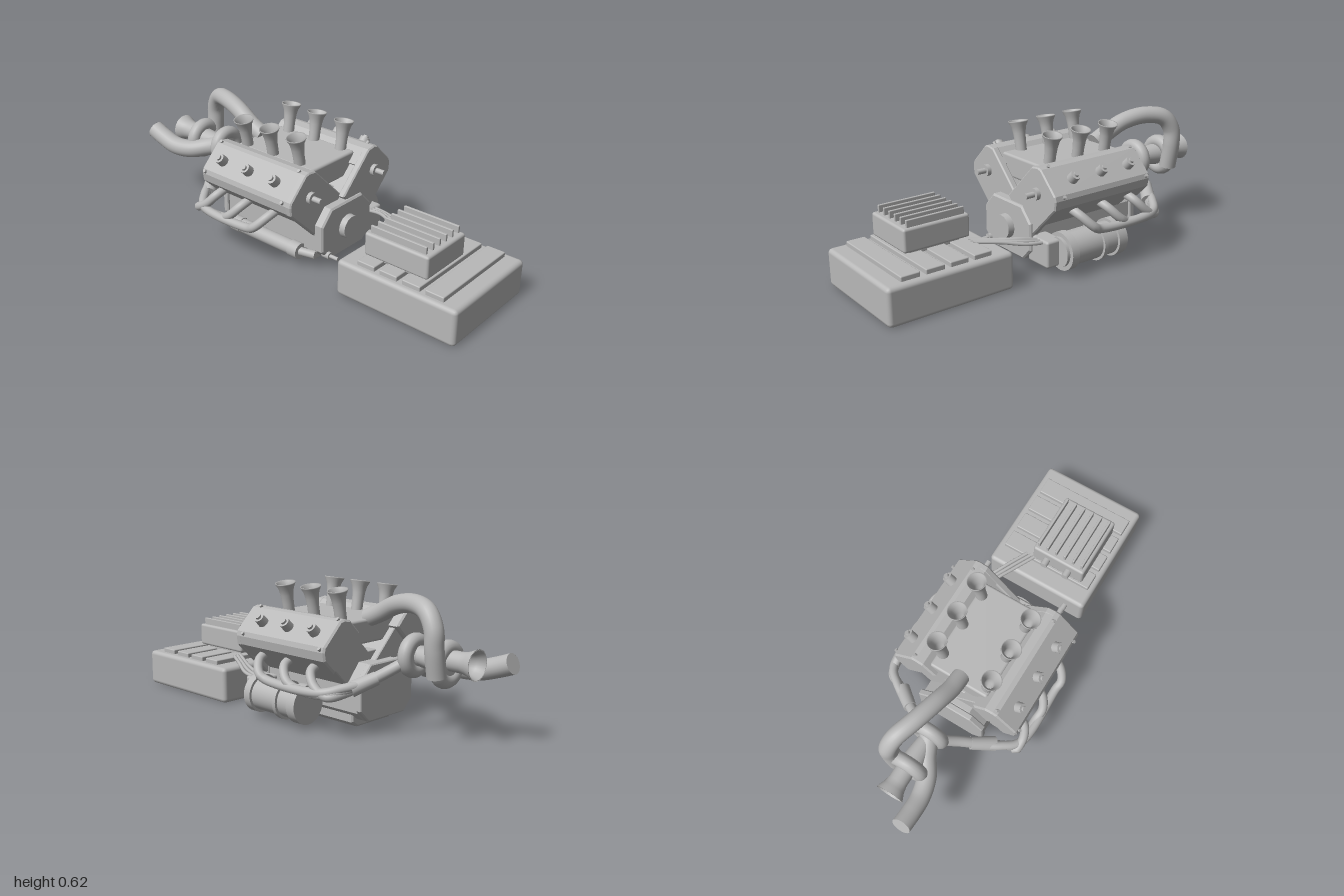
import * as THREE from 'three';
import { RoundedBoxGeometry } from 'three/addons/geometries/RoundedBoxGeometry.js';

const V = (p) => new THREE.Vector3(...p);

export function createModel() {
  const model = new THREE.Group();
  const grey = new THREE.MeshStandardMaterial({ color: 0xb8b8b8, side: THREE.DoubleSide });
  grey.name = 'castGrey';

  const add = (name, geometry) => {
    const mesh = new THREE.Mesh(geometry, grey);
    mesh.name = name;
    model.add(mesh);
    return mesh;
  };

  // rounded box from its min and max corners
  const box = (name, [x0, y0, z0], [x1, y1, z1], r = 0.01) => {
    const m = add(name, new RoundedBoxGeometry(x1 - x0, y1 - y0, z1 - z0, 2, r));
    m.position.set((x0 + x1) / 2, (y0 + y1) / 2, (z0 + z1) / 2);
    return m;
  };

  // cylinder or cone between two points
  const rod = (name, a, b, r0, r1 = r0, sides = 24) => {
    const A = V(a), B = V(b), dir = B.clone().sub(A);
    const m = add(name, new THREE.CylinderGeometry(r1, r0, dir.length(), sides));
    m.position.copy(A).add(B).multiplyScalar(0.5);
    m.quaternion.setFromUnitVectors(new THREE.Vector3(0, 1, 0), dir.normalize());
    return m;
  };

  // smooth pipe with closed ends
  const pipe = (name, points, r, sides = 16) => {
    const curve = new THREE.CatmullRomCurve3(points.map(V));
    add(name, new THREE.TubeGeometry(curve, 48, r, sides));
    for (const t of [0, 1]) {
      const cap = add(name + 'End', new THREE.CircleGeometry(r, sides));
      cap.position.copy(curve.getPoint(t));
      const n = curve.getTangent(t).multiplyScalar(t ? 1 : -1);
      cap.quaternion.setFromUnitVectors(new THREE.Vector3(0, 0, 1), n);
    }
  };

  // [z, y] outline extruded along x
  const slab = (name, outline, x0, x1, bevel = 0.008) => {
    const shape = new THREE.Shape(outline.map(([z, y]) => new THREE.Vector2(-z, y)));
    const g = new THREE.ExtrudeGeometry(shape, {
      depth: x1 - x0 - 2 * bevel, bevelEnabled: bevel > 0, bevelSize: bevel,
      bevelThickness: bevel, bevelOffset: -bevel, bevelSegments: 1,
    });
    g.translate(0, 0, x0 + bevel).rotateY(Math.PI / 2);
    return add(name, g);
  };

  // crankcase, end covers and sump
  const mirror = (half) => [...half, ...half.map(([z, y]) => [-z, y]).reverse()];
  slab('crankcase', mirror([[0.12, 0.05], [0.165, 0.09], [0.165, 0.21], [0.09, 0.3]]), -0.395, 0.19);
  const cover = mirror([[0.12, 0.05], [0.175, 0.105], [0.175, 0.235], [0.11, 0.305]]);
  slab('timingCover', cover, 0.17, 0.225);
  slab('rearPlate', cover, -0.42, -0.39, 0.005);
  slab('sump', mirror([[0.11, 0.01], [0.145, 0.035], [0.145, 0.07]]), -0.345, 0.135);
  rod('crankHub', [0.22, 0.18, 0], [0.255, 0.18, 0], 0.058, 0.055, 32);
  rod('lowerShaft', [0.2, 0.08, 0.136], [0.24, 0.08, 0.136], 0.018);
  rod('lowerShaftTip', [0.24, 0.08, 0.136], [0.285, 0.08, 0.136], 0.009);

  // the two cylinder banks, tilted 45 degrees; the rear one sits slightly forward on x
  const k = Math.SQRT1_2;
  for (const s of [1, -1]) {
    const dx = s > 0 ? 0 : 0.03;
    const side = s > 0 ? 'left' : 'right';
    // along the bank (u) and across it (v)
    const at = (u, v) => [s * k * (u - v), 0.17 + k * (u + v)];
    const at3 = (x, u, v) => { const [z, y] = at(u, v); return [x + dx, y, z]; };
    const outline = (pts) => pts.map(([u, v]) => at(u, v));

    slab(side + 'CylinderBank', outline([[0.02, -0.09], [0.3, -0.09], [0.3, 0.1], [0.02, 0.1]]),
      -0.36 + dx, 0.15 + dx, 0.004);
    slab(side + 'ValveCover', outline([[0.265, -0.113], [0.355, -0.113], [0.388, -0.09], [0.4, -0.07],
      [0.4, 0.07], [0.388, 0.09], [0.355, 0.113], [0.265, 0.113]]), -0.385 + dx, 0.16 + dx);
    slab(side + 'EndPlate', outline([[0.1, -0.115], [0.355, -0.115], [0.388, -0.09], [0.4, -0.07],
      [0.4, 0.07], [0.388, 0.09], [0.355, 0.115], [0.1, 0.115]]), 0.145 + dx, 0.18 + dx, 0.006);
    rod(side + 'CamBoss', [0.17 + dx, 0.388, s * 0.208], [0.2 + dx, 0.388, s * 0.208], 0.028);
    rod(side + 'CamShaft', [0.2 + dx, 0.388, s * 0.208], [0.245 + dx, 0.388, s * 0.208], 0.013);

    [-0.285, -0.12, 0.045].forEach((x, i) => {
      // spark plug caps
      rod('plugCap', at3(x, 0.39, -0.005), at3(x, 0.44, -0.005), 0.026, 0.024);
      rod('plugTip', at3(x, 0.44, -0.005), at3(x, 0.45, -0.005), 0.013);

      // flared intake trumpets
      const profile = [[0.027, -0.02], [0.027, 0.04], [0.03, 0.08], [0.036, 0.11], [0.047, 0.132],
        [0.047, 0.137], [0.042, 0.135], [0.031, 0.11], [0.023, 0.07], [0.021, 0.0], [0, 0]];
      const trumpet = add('intakeTrumpet', new THREE.LatheGeometry(
        profile.map(([r, y]) => new THREE.Vector2(r, y)), 24));
      trumpet.position.set(x + dx, 0.485, s * 0.126);
      trumpet.rotation.x = s * 0.17;

      // exhaust header runners
      const out = 0.355 + i * 0.007, low = 0.19 + i * 0.007;
      pipe('exhaustRunner', [
        [x + dx, 0.31, s * 0.27], [x + dx - 0.015, 0.285, s * 0.33], [x + dx - 0.06, 0.235, s * out],
        [x + dx - 0.12 + i * 0.01, low + 0.01, s * (out - 0.005)],
        [-0.36 - (2 - i) * 0.02, low + 0.01, s * (0.335 + i * 0.01)],
        [-0.43, 0.215 + i * 0.01, s * (0.27 + i * 0.008)], [-0.48, 0.25, s * 0.2],
      ], 0.021);
    });

    // cover bolts
    for (const x of [-0.36, 0.13]) for (const v of [-0.08, 0.08])
      rod('coverBolt', at3(x, 0.38, v), at3(x, 0.404, v), 0.008, 0.008, 8);

    // collector into the turbine
    rod(side + 'Collector', [-0.435, 0.225, s * 0.255], [-0.5, 0.27, s * 0.165], 0.035, 0.03);
    pipe(side + 'CollectorPipe', [[-0.49, 0.265, s * 0.175], [-0.53, 0.3, s * 0.11],
      [-0.575, 0.34, s * 0.05]], 0.025);
  }

  // plenum in the valley
  box('plenum', [-0.33, 0.375, -0.15], [0.14, 0.485, 0.15], 0.012);
  box('valleyFloor', [-0.33, 0.28, -0.05], [0.12, 0.34, 0.05], 0.005);

  // turbocharger
  const volute = (name, x, y, z, R, r) => {
    const ring = add(name, new THREE.TorusGeometry(R, r, 16, 40));
    ring.rotation.y = Math.PI / 2;
    ring.position.set(x, y, z);
    rod(name + 'Hub', [x - r * 0.7, y, z], [x + r * 0.7, y, z], R);
  };
  volute('turbineVolute', -0.575, 0.355, -0.005, 0.066, 0.033);
  volute('compressorVolute', -0.747, 0.345, -0.01, 0.07, 0.034);
  rod('turboShaftHousing', [-0.73, 0.35, 0], [-0.585, 0.355, 0], 0.055, 0.035);
  const inlet = add('compressorInlet', new THREE.LatheGeometry(
    [[0.045, 0], [0.045, 0.06], [0.052, 0.09], [0.067, 0.125], [0.062, 0.125], [0.045, 0.09], [0.036, 0.05], [0, 0.05]]
      .map(([r, y]) => new THREE.Vector2(r, y)), 32));
  inlet.rotation.z = Math.PI / 2;
  inlet.position.set(-0.77, 0.363, -0.005);
  pipe('boostPipe', [[-0.745, 0.3, -0.075], [-0.745, 0.42, -0.095], [-0.74, 0.5, -0.095], [-0.695, 0.565, -0.08],
    [-0.6, 0.585, -0.045], [-0.48, 0.565, -0.015], [-0.38, 0.518, 0], [-0.305, 0.485, 0]], 0.042, 24);
  pipe('exhaustOutlet', [[-0.58, 0.36, 0], [-0.66, 0.335, 0.035], [-0.74, 0.315, 0.085],
    [-0.83, 0.315, 0.11], [-0.91, 0.338, 0.115], [-0.985, 0.365, 0.115]], 0.045, 24);

  // oil cooler tube on the left flank
  rod('coolerTube', [-0.27, 0.077, 0.19], [0.05, 0.077, 0.19], 0.035);
  for (const x of [-0.325, 0.05]) rod('coolerCap', [x, 0.077, 0.19], [x + 0.055, 0.077, 0.19], 0.039);
  rod('coolerOutlet', [0.1, 0.077, 0.19], [0.18, 0.077, 0.17], 0.02);
  for (const x of [-0.22, 0]) box('coolerBracket', [x - 0.015, 0.06, 0.14], [x + 0.015, 0.095, 0.19], 0.004);

  // motor generator on the right flank
  rod('generator', [-0.19, 0.115, -0.275], [0.13, 0.115, -0.275], 0.078, 0.078, 36);
  for (const [x, w] of [[-0.2, 0.05], [-0.08, 0.02], [0.09, 0.04]])
    rod('generatorBand', [x, 0.115, -0.275], [x + w, 0.115, -0.275], 0.09, 0.09, 36);
  rod('generatorNose', [0.13, 0.115, -0.275], [0.145, 0.115, -0.275], 0.07, 0.07, 36);
  box('generatorGearbox', [0.12, 0.05, -0.283], [0.21, 0.178, -0.14], 0.012);
  box('generatorMount', [-0.15, 0.08, -0.22], [0.08, 0.15, -0.14], 0.006);

  // battery pack
  box('battery', [0.383, 0.003, -0.272], [0.997, 0.178, 0.268], 0.02);
  for (let i = 0; i < 4; i++) {
    const x = 0.477 + i * 0.117;
    box('batteryRib', [x, 0.165, -0.24], [x + 0.09, 0.2, 0.24], 0.005);
  }
  rod('batteryTerminal', [0.34, 0.097, 0.17], [0.39, 0.097, 0.17], 0.014);

  // control unit with cooling fins
  box('controlUnit', [0.48, 0.213, -0.08], [0.808, 0.322, 0.2], 0.012);
  box('controlUnitFoot', [0.52, 0.19, -0.05], [0.77, 0.22, 0.17], 0.003);
  for (let i = 0; i < 6; i++) {
    const z = 0.177 - i * 0.0475;
    box('coolingFin', [0.5, 0.31, z - 0.006], [0.785, 0.355, z + 0.006], 0.003);
  }
  for (const z of [0, 0.12]) rod('controlPlug', [0.443, 0.268, z], [0.485, 0.268, z], 0.018);

  // power cables
  for (let i = 0; i < 3; i++) {
    const o = i * 0.02;
    pipe('powerCable', [[0.19, 0.165, -0.245 + o], [0.28, 0.172 + o * 0.3, -0.225 + o],
      [0.38, 0.19, -0.175 + o], [0.49, 0.2, -0.115 + o]], 0.009, 8);
  }
  return model;
}
